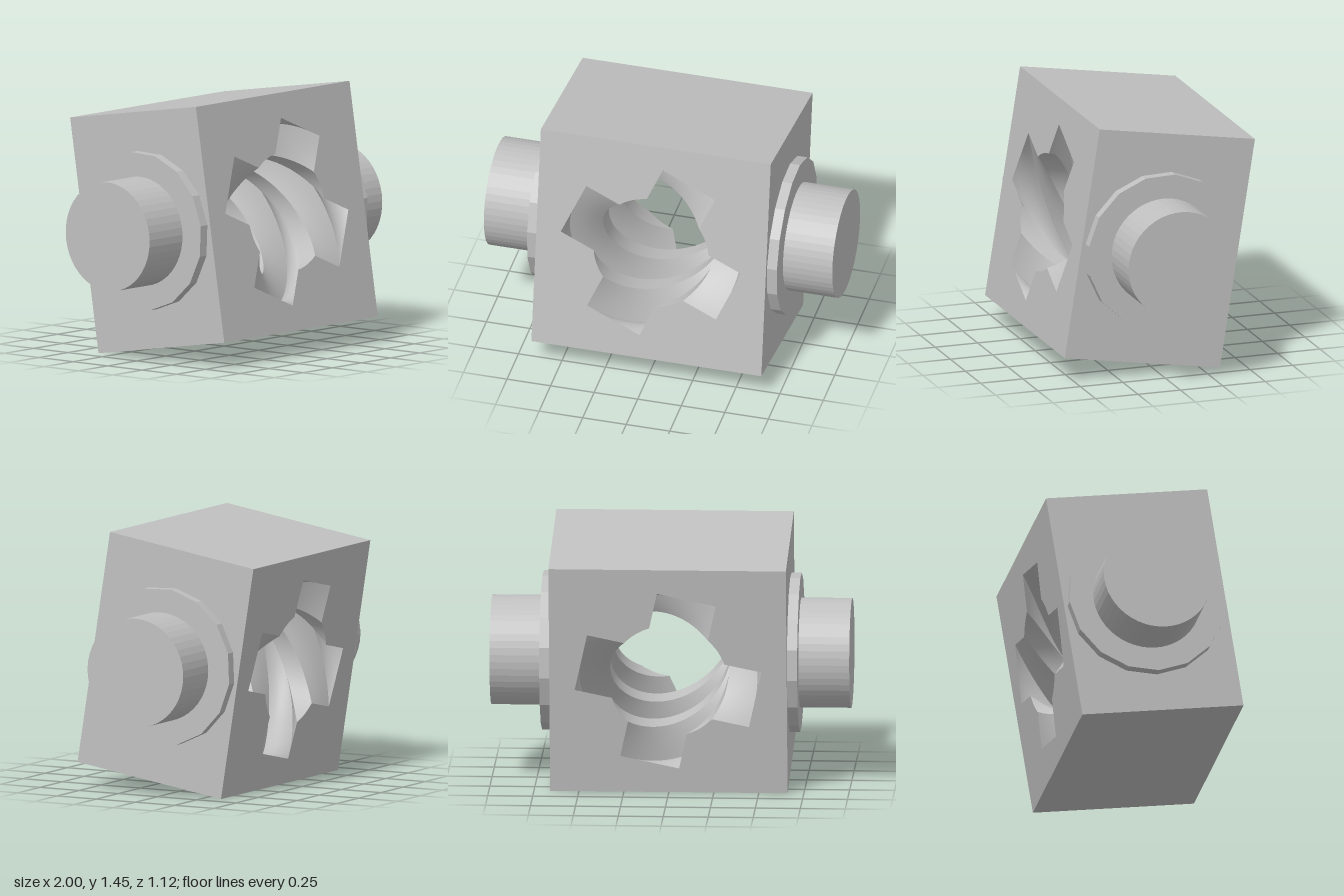
import * as THREE from 'three';
import { toCreasedNormals } from 'three/addons/utils/BufferGeometryUtils.js';

const WIDTH = 1.32, DEPTH = 0.926;      // square block, bored front to back
const BORE = 0.33;                      // crest radius of the thread
const SLOT = 0.167, REACH = 0.495;      // groove half width and outer reach
const START = THREE.MathUtils.degToRad(66.3);
const TWIST = THREE.MathUtils.degToRad(216);
const TILT = THREE.MathUtils.degToRad(9);

// Bore cross-section: a circle cut by four straight-sided slots
function boreSection() {
  const pts = [];
  const a = Math.asin(SLOT / BORE), inner = BORE * Math.cos(a);
  const add = (x, y, turn) => pts.push(new THREE.Vector2(x, y).rotateAround(new THREE.Vector2(), turn));
  for (let k = 0; k < 4; k++) {
    const turn = k * Math.PI / 2;
    for (let i = 0; i < 4; i++) add(THREE.MathUtils.lerp(inner, REACH, i / 4), -SLOT, turn);
    for (let i = 0; i < 4; i++) add(REACH, THREE.MathUtils.lerp(-SLOT, SLOT, i / 4), turn);
    for (let i = 0; i < 4; i++) add(THREE.MathUtils.lerp(REACH, inner, i / 4), SLOT, turn);
    for (let i = 0; i < 6; i++) {
      const t = THREE.MathUtils.lerp(a, Math.PI / 2 - a, i / 6);
      add(BORE * Math.cos(t), BORE * Math.sin(t), turn);
    }
  }
  return pts;
}

const turned = (pts, angle) => pts.map(p => p.clone().rotateAround(new THREE.Vector2(), angle));

// Twisted inner wall of the four-start thread
function threadGeometry(section, slices = 108) {
  const pos = [], index = [], n = section.length;
  for (let i = 0; i <= slices; i++) {
    const t = i / slices;
    for (const p of turned(section, START + TWIST * t)) pos.push(p.x, p.y, DEPTH * (0.5 - t));
  }
  for (let i = 0; i < slices; i++) {
    for (let j = 0; j < n; j++) {
      const a = i * n + j, b = i * n + (j + 1) % n;
      index.push(a, b, a + n, b, b + n, a + n);
    }
  }
  const geo = new THREE.BufferGeometry();
  geo.setAttribute('position', new THREE.Float32BufferAttribute(pos, 3));
  geo.setIndex(index);
  return toCreasedNormals(geo, 0.5);
}

// Square face with the bore opening cut out
function faceGeometry(hole) {
  const h = WIDTH / 2;
  const shape = new THREE.Shape([[-h, -h], [h, -h], [h, h], [-h, h]].map(p => new THREE.Vector2(...p)));
  shape.holes.push(new THREE.Path(hole));
  return new THREE.ShapeGeometry(shape).translate(0, 0, DEPTH / 2);
}

export function createModel() {
  const steel = new THREE.MeshStandardMaterial({ color: 0xc0c0c0 });
  steel.name = 'grey steel';
  const model = new THREE.Group();
  model.name = 'trunnionNut';
  const body = new THREE.Group();
  body.name = 'tiltedBody';
  body.position.y = 0.727;
  body.rotation.x = -TILT;
  model.add(body);

  const add = (name, geo) => {
    const mesh = new THREE.Mesh(geo, steel);
    mesh.name = name;
    body.add(mesh);
    return mesh;
  };

  // Block: two bored faces and four plain sides
  const section = boreSection();
  add('frontFace', faceGeometry(turned(section, START)));
  const backHole = turned(section, START + TWIST).map(p => new THREE.Vector2(-p.x, p.y));
  add('backFace', faceGeometry(backHole).rotateY(Math.PI));
  ['leftSide', 'topSide', 'rightSide', 'bottomSide'].forEach((name, i) => {
    const side = new THREE.PlaneGeometry(DEPTH, WIDTH).rotateY(Math.PI / 2).translate(WIDTH / 2, 0, 0);
    add(name, side.rotateZ(i * Math.PI / 2));
  });
  add('threadedBore', threadGeometry(section));

  // Faceted collar and round pivot pin on each side
  const disc = (r, from, to, sides, s) => toCreasedNormals(
    new THREE.CylinderGeometry(r, r, to - from, sides).rotateZ(Math.PI / 2)
      .translate(s * (from + to) / 2, 0, 0), 0.01);
  for (const [label, s] of [['left', 1], ['right', -1]]) {
    add(label + 'Collar', disc(0.443, 0.65, 0.717, 16, s));
    add(label + 'Pin', disc(0.305, 0.7, 1, 48, s));
  }
  return model;
}
